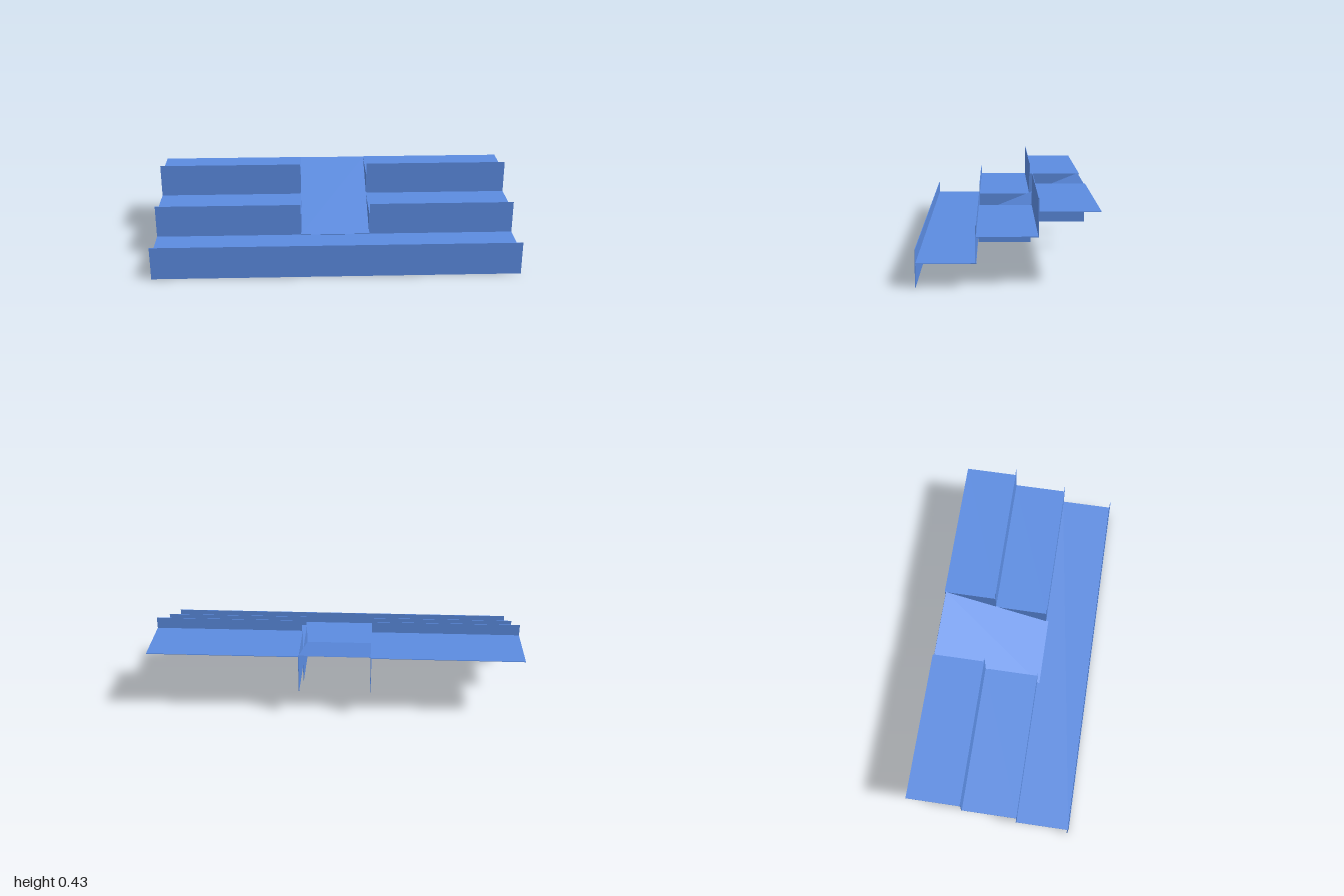
import * as THREE from 'three';

const T = 0.003; // sheet thickness
const material = new THREE.MeshStandardMaterial({ color: 0x5b8be0 });

// Thin sheet given by its extents along each axis
function sheet(name, [x0, x1], [y0, y1], [z0, z1]) {
  const mesh = new THREE.Mesh(new THREE.BoxGeometry(x1 - x0, y1 - y0, z1 - z0), material);
  mesh.position.set((x0 + x1) / 2, (y0 + y1) / 2, (z0 + z1) / 2);
  mesh.name = name;
  return mesh;
}

export function createModel() {
  const model = new THREE.Group();
  model.name = 'steppedTerraces';
  const inner = 0.193;

  // Lowest terrace runs the full width
  model.add(sheet('lowerFloor', [-1, 1], [0.118 - T, 0.118], [0.148, 0.438]));
  model.add(sheet('lowerFrontBoard', [-1, 1], [0, 0.185], [0.435, 0.438]));

  // Upper terraces are split by the central ramp
  const terraces = [
    { name: 'middle', floor: 0.245, board: [0.118, 0.3], front: 0.152, back: -0.147, wall: [0.037, 0.245], wallBack: -0.137 },
    { name: 'upper', floor: 0.365, board: [0.245, 0.428], front: -0.144, back: -0.438, wall: [0.153, 0.365], wallBack: -0.436 },
  ];
  for (const t of terraces) {
    for (const side of [-1, 1]) {
      const span = side > 0 ? [inner, 1] : [-1, -inner];
      const wallX = side > 0 ? [inner - T, inner] : [-inner, -inner + T];
      const half = new THREE.Group();
      half.name = t.name + (side > 0 ? 'TerraceLeft' : 'TerraceRight');
      half.add(sheet('floor', span, [t.floor - T, t.floor], [t.back, t.front]));
      half.add(sheet('frontBoard', span, t.board, [t.front - T, t.front]));
      half.add(sheet('rampSideWall', wallX, t.wall, [t.wallBack, t.front]));
      model.add(half);
    }
  }

  // Sloping ramp between the two halves
  const z0 = 0.165, y0 = 0.125, z1 = -0.43, y1 = 0.367;
  const ramp = new THREE.Mesh(
    new THREE.BoxGeometry(2 * inner, T, Math.hypot(z1 - z0, y1 - y0)), material);
  ramp.position.set(0, (y0 + y1) / 2 - T / 2, (z0 + z1) / 2);
  ramp.rotation.x = Math.atan2(y1 - y0, z0 - z1);
  ramp.name = 'ramp';
  model.add(ramp);

  return model;
}
